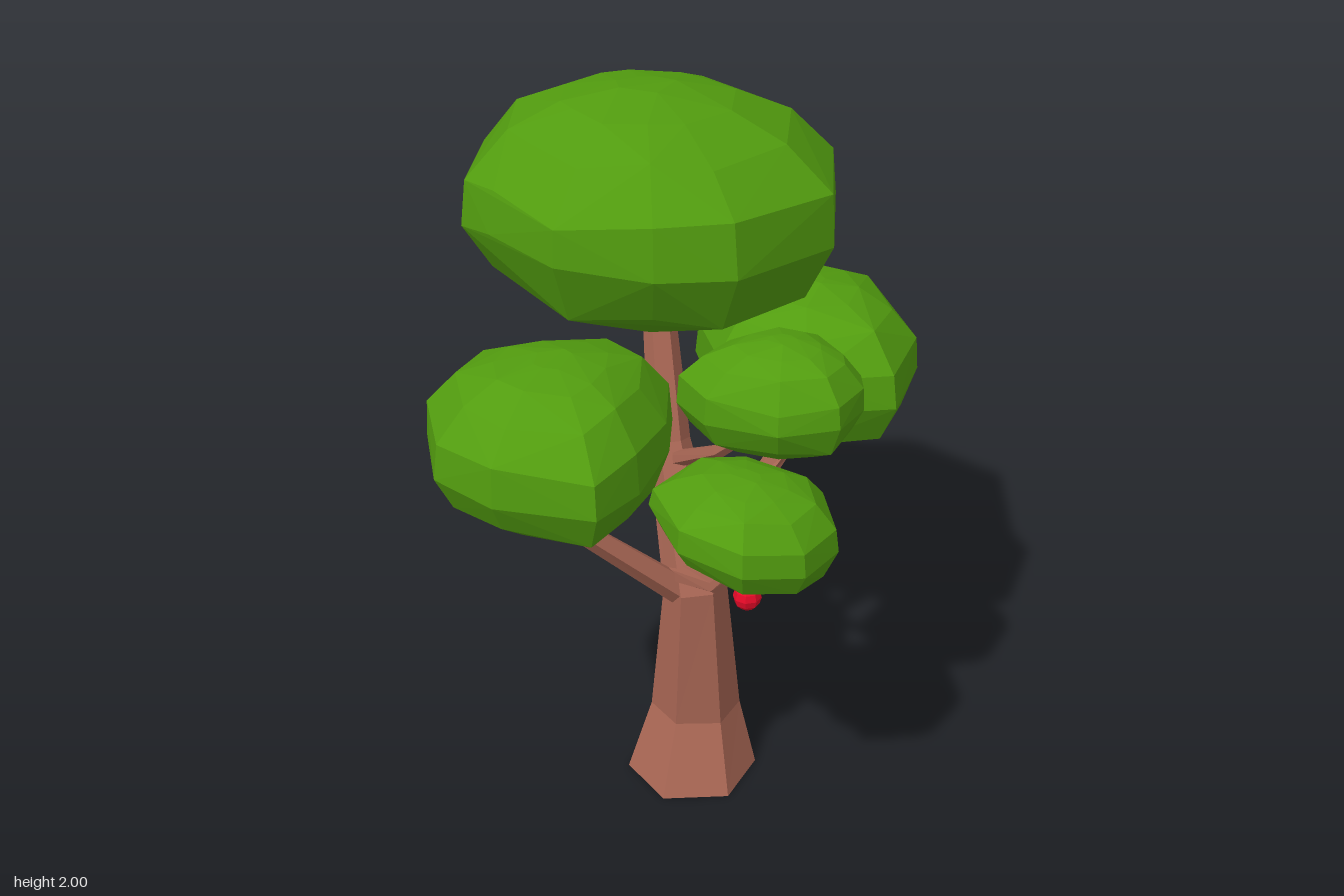
import * as THREE from 'three';
import { ConvexGeometry } from 'three/addons/geometries/ConvexGeometry.js';

const paint = (color) => new THREE.MeshStandardMaterial({ color, flatShading: true });

// Small seeded generator returning values in -1..1
function seeded(seed) {
  let s = seed;
  return () => {
    s = (s * 16807) % 2147483647;
    return (s / 2147483647) * 2 - 1;
  };
}

// Tapering faceted limb through points [x, y, z, radius], open at the root
function limbGeometry(path, sides) {
  const pts = path.map(([x, y, z]) => new THREE.Vector3(x, y, z));
  const last = pts.length - 1;
  const pos = [];
  const index = [];
  pts.forEach((p, i) => {
    const t = new THREE.Vector3();
    if (i > 0) t.add(p.clone().sub(pts[i - 1]).normalize());
    if (i < last) t.add(pts[i + 1].clone().sub(p).normalize());
    if (p.y === 0) t.set(0, 1, 0); // flat on the ground
    t.normalize();
    const n = new THREE.Vector3(1, 0, 0).addScaledVector(t, -t.x).normalize();
    const b = new THREE.Vector3().crossVectors(t, n);
    for (let j = 0; j < sides; j++) {
      const a = 0.21 + (j / sides) * Math.PI * 2;
      const q = p.clone()
        .addScaledVector(n, Math.cos(a) * path[i][3])
        .addScaledVector(b, Math.sin(a) * path[i][3]);
      pos.push(q.x, q.y, q.z);
    }
  });
  const tip = pos.length / 3;
  pos.push(...pts[last].toArray());
  for (let j = 0; j < sides; j++) {
    const k = (j + 1) % sides;
    for (let i = 0; i < last; i++) {
      const r = i * sides;
      const u = r + sides;
      index.push(r + j, r + k, u + k, r + j, u + k, u + j);
    }
    index.push(tip, last * sides + j, last * sides + k);
  }
  const g = new THREE.BufferGeometry();
  g.setAttribute('position', new THREE.Float32BufferAttribute(pos, 3));
  g.setIndex(index);
  g.computeVertexNormals();
  return g;
}

// Height fraction and width of each layer in a foliage clump
const LAYERS = [[0, 0.56], [0.15, 0.87], [0.4, 1.01], [0.62, 0.98], [0.84, 0.75], [0.95, 0.46], [1, 0.16]];

// Chunky domed foliage: a plan outline [x, z] stacked in layers, slightly roughened
function foliageGeometry({ plan, low, high, tiltX = 0, tiltZ = 0, seed }) {
  const rnd = seeded(seed);
  const cx = plan.reduce((s, p) => s + p[0], 0) / plan.length;
  const cz = plan.reduce((s, p) => s + p[1], 0) / plan.length;
  const h = high - low;
  const pts = [];
  for (const [f, w] of LAYERS) {
    const rough = h * (f > 0.1 && f < 0.9 ? 0.035 : 0.01);
    for (const [x, z] of plan) {
      const s = w * (1 - 0.02 * Math.abs(rnd()));
      const dx = (x - cx) * s;
      const dz = (z - cz) * s;
      // the tilt fades out towards the crown of the clump
      const tilt = (tiltX * dx + tiltZ * dz) * (1 - 0.6 * f);
      pts.push(new THREE.Vector3(cx + dx, low + f * h + rnd() * rough + tilt, cz + dz));
    }
  }
  return new ConvexGeometry(pts);
}

const LIMBS = {
  trunk: [[0.043, 0, 0.075, 0.189], [0.048, 0.2, 0.04, 0.13], [0.052, 0.64, 0.088, 0.09],
    [-0.045, 1.02, -0.06, 0.06], [-0.1, 1.5, -0.18, 0.04]],
  frontRightBranch: [[0.04, 0.62, 0.11, 0.045], [-0.22, 0.88, 0.25, 0.034], [-0.28, 1.15, 0.34, 0.026]],
  frontLeftBranch: [[0, 0.69, 0.11, 0.028], [0.14, 0.79, 0.32, 0.02], [0.26, 0.98, 0.43, 0.016]],
  backLeftBranch: [[0.045, 0.57, 0.06, 0.042], [0.14, 0.71, -0.25, 0.036], [0.25, 0.88, -0.32, 0.032],
    [0.27, 1.12, -0.28, 0.026]],
  upperLeftBranch: [[-0.05, 0.96, -0.05, 0.026], [0.12, 1.1, 0.13, 0.02], [0.28, 1.28, 0.26, 0.015]],
};

const FOLIAGE = {
  topFoliage: {
    low: 1.41, high: 1.995, tiltX: -0.05, tiltZ: 0.07, seed: 11,
    plan: [[-0.63, -0.37], [-0.46, -0.6], [-0.3, -0.68], [0.01, -0.71], [0.2, -0.61], [0.37, -0.49],
      [0.4, -0.04], [0.18, 0.26], [-0.02, 0.33], [-0.27, 0.35], [-0.48, 0.13], [-0.58, 0.02]],
  },
  backLeftFoliage: {
    low: 0.99, high: 1.42, tiltZ: 0.04, seed: 23,
    plan: [[0.23, -0.69], [0.05, -0.61], [-0.01, -0.35], [0.08, -0.08], [0.34, 0.03], [0.58, -0.06],
      [0.63, -0.32], [0.52, -0.58]],
  },
  frontRightFoliage: {
    low: 1.055, high: 1.465, tiltX: -0.05, seed: 37,
    plan: [[-0.61, 0.38], [-0.56, 0.18], [-0.4, 0.06], [-0.15, 0.03], [0, 0.15], [0.02, 0.35],
      [-0.02, 0.56], [-0.1, 0.71], [-0.36, 0.71], [-0.53, 0.6]],
  },
  upperLeftFoliage: {
    low: 1.225, high: 1.505, seed: 41,
    plan: [[0.03, 0.3], [0.1, 0.14], [0.25, 0.04], [0.4, 0.08], [0.5, 0.2], [0.51, 0.28],
      [0.46, 0.42], [0.31, 0.47], [0.12, 0.42]],
  },
  frontLeftFoliage: {
    low: 0.945, high: 1.2, tiltX: -0.2, seed: 59,
    plan: [[-0.02, 0.42], [0.05, 0.25], [0.2, 0.19], [0.42, 0.28], [0.47, 0.46], [0.4, 0.6],
      [0.25, 0.66], [0.08, 0.6]],
  },
};

const FRUIT = [[-0.42, 1.04, 0.34], [-0.145, 1.03, 0.25], [0.25, 0.915, 0.54],
  [0.36, 0.97, -0.365], [-0.32, 1.41, -0.32]];

export function createModel() {
  const model = new THREE.Group();
  model.name = 'fruitTree';
  const bark = paint(0xa86654);
  bark.side = THREE.DoubleSide;
  const leaf = paint(0x529c0f);
  const red = paint(0xe60a28);
  const add = (parent, name, geometry, material) => {
    const mesh = new THREE.Mesh(geometry, material);
    mesh.name = name;
    parent.add(mesh);
    return mesh;
  };

  // Trunk and branches
  for (const [name, path] of Object.entries(LIMBS)) {
    add(model, name, limbGeometry(path, name === 'trunk' ? 6 : 5), bark);
  }

  // Foliage clumps
  for (const [name, spec] of Object.entries(FOLIAGE)) {
    add(model, name, foliageGeometry(spec), leaf);
  }

  // Hanging fruit with thin stems
  const ball = new THREE.SphereGeometry(0.037, 8, 6);
  const stem = new THREE.CylinderGeometry(0.004, 0.004, 0.08, 5);
  for (const p of FRUIT) {
    const fruit = new THREE.Group();
    fruit.name = 'fruit';
    fruit.position.set(...p);
    add(fruit, 'fruitBall', ball, red);
    add(fruit, 'fruitStem', stem, bark).position.y = 0.06;
    model.add(fruit);
  }
  return model;
}
